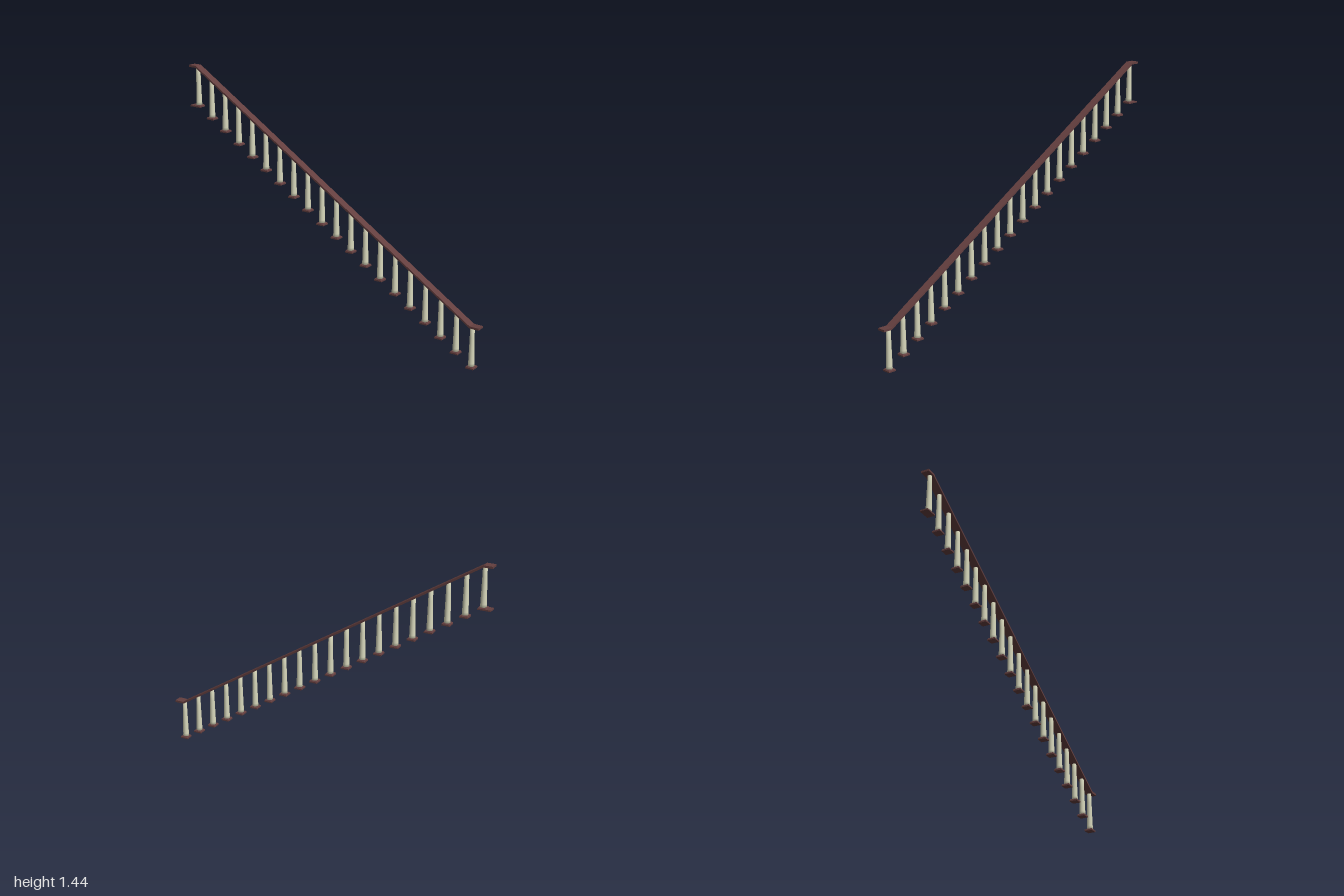
import * as THREE from 'three';

const COUNT = 20, STEP_Z = 0.1, RISE = 0.0627, W = 0.048;

const wood = new THREE.MeshStandardMaterial({ color: 0x643f3f });
wood.name = 'dark wood';
const cream = new THREE.MeshStandardMaterial({ color: 0xd8d8bc });
cream.name = 'cream';

// Extrude a [z, y] side outline across the width, centred on x = 0
function extrudeSide(points, width) {
  const shape = new THREE.Shape(points.map(([z, y]) => new THREE.Vector2(-z, y)));
  const geo = new THREE.ExtrudeGeometry(shape, { depth: width, bevelEnabled: false });
  geo.translate(0, 0, -width / 2);
  geo.rotateY(Math.PI / 2);
  return geo;
}

export function createModel() {
  const model = new THREE.Group();
  model.name = 'stairRailing';
  const add = (name, geo, mat, y, z) => {
    const mesh = new THREE.Mesh(geo, mat);
    mesh.name = name;
    mesh.position.set(0, y, z);
    model.add(mesh);
  };

  // Handrail: level at both ends, sloping between
  const topY = RISE * (COUNT - 1) + 0.249;
  const t = 0.012;
  add('handrail', extrudeSide([
    [1, 0.249 - t], [0.945, 0.249 - t], [-0.95, topY - t], [-1, topY - t],
    [-1, topY], [-0.95, topY], [0.945, 0.249], [1, 0.249],
  ], W), wood, 0, 0);

  // Tapered round baluster
  const post = new THREE.LatheGeometry([
    [0, 0.008], [0.0185, 0.008], [0.0175, 0.03], [0.0155, 0.1],
    [0.0135, 0.18], [0.0125, 0.237], [0, 0.237],
  ].map(([r, y]) => new THREE.Vector2(r, y)), 20);

  // Square foot plate with a sloped upper edge
  const plate = new THREE.BoxGeometry(W, 0.008, 0.048).translate(0, 0.004, 0);
  const longPlate = new THREE.BoxGeometry(W, 0.008, 0.075).translate(0, 0.004, -0.0125);
  const cap = new THREE.CylinderGeometry(0.019 * Math.SQRT2, 0.024 * Math.SQRT2, 0.006, 4)
    .rotateY(Math.PI / 4).translate(0, 0.011, 0).toNonIndexed();
  cap.computeVertexNormals();

  for (let i = 0; i < COUNT; i++) {
    const y = RISE * i, z = 0.95 - STEP_Z * i;
    add('baluster', post, cream, y, z);
    add('footPlate', i === COUNT - 1 ? longPlate : plate, wood, y, z);
    add('footCap', cap, wood, y, z);
  }
  return model;
}
